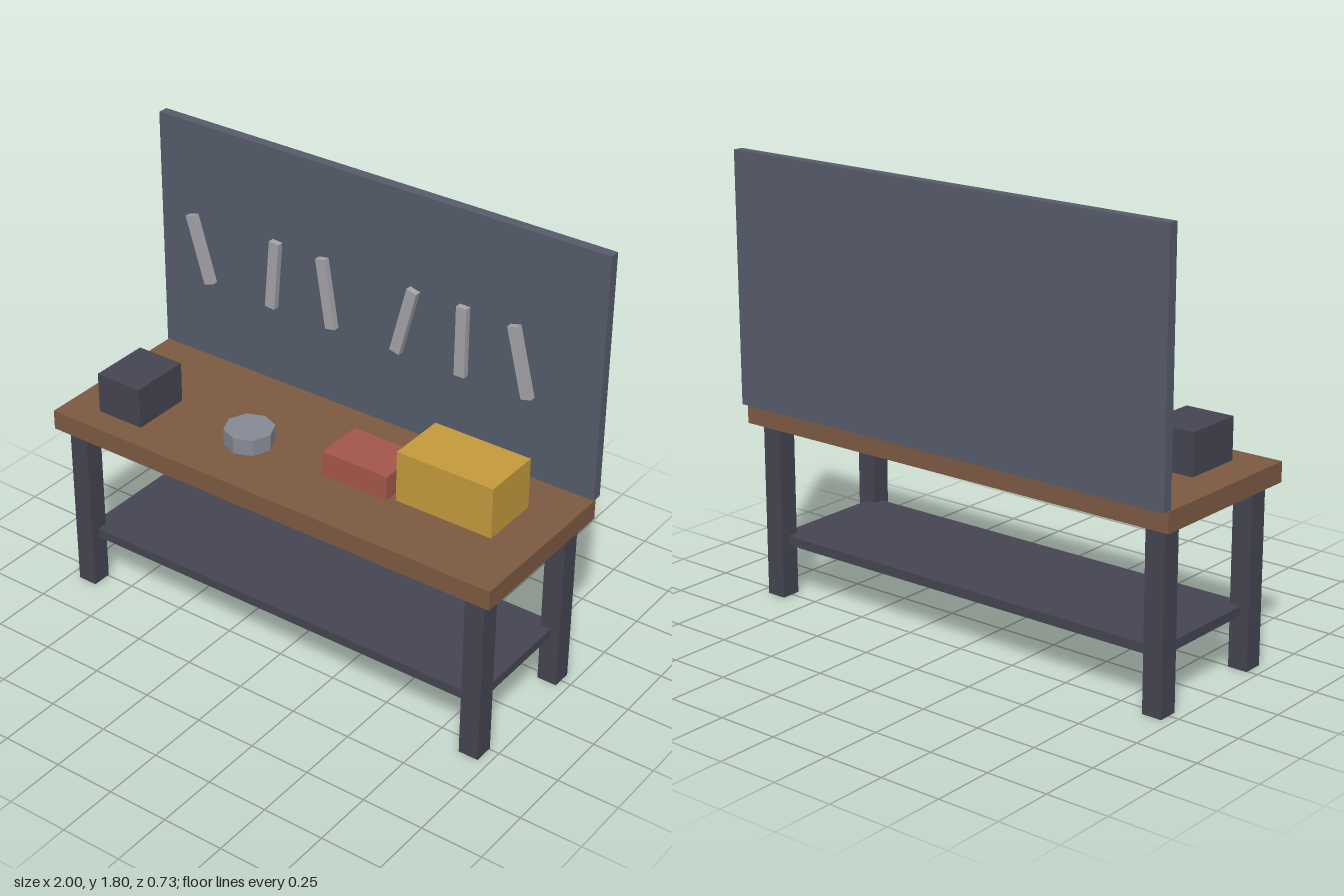
import * as THREE from 'three';

const material = (color) => new THREE.MeshStandardMaterial({ color, flatShading: true });
const WOOD = material(0x7d5a42);
const FRAME = material(0x454552);
const BOARD = material(0x565c6b);
const STEEL = material(0xa3a3a8);
const IRON = material(0x858a95);
const RED = material(0xa4574a);
const YELLOW = material(0xc49a3c);

// Box given by its lower and upper limits on each axis
function box(name, mat, [x0, x1], [y0, y1], [z0, z1]) {
  const mesh = new THREE.Mesh(new THREE.BoxGeometry(x1 - x0, y1 - y0, z1 - z0), mat);
  mesh.position.set((x0 + x1) / 2, (y0 + y1) / 2, (z0 + z1) / 2);
  mesh.name = name;
  return mesh;
}

export function createModel() {
  const model = new THREE.Group();
  model.name = 'workbench';
  const top = 0.793;

  // Worktop, lower shelf and pegboard
  model.add(
    box('worktop', WOOD, [-1, 1], [0.713, top], [-0.338, 0.367]),
    box('lowerShelf', FRAME, [-0.92, 0.92], [0.212, 0.25], [-0.26, 0.291]),
    box('backBoard', BOARD, [-1, 1], [0.796, 1.796], [-0.367, -0.325]),
  );

  // Four square legs
  const half = 0.041;
  for (const x of [-0.916, 0.916]) {
    for (const z of [-0.255, 0.286]) {
      model.add(box(`${z > 0 ? 'front' : 'back'}${x > 0 ? 'Left' : 'Right'}Leg`, FRAME,
        [x - half, x + half], [0, 0.713], [z - half, z + half]));
    }
  }

  // Hanging tools: x position and tilt
  const tools = [[-0.8, 0.3], [-0.446, -0.08], [-0.193, 0.165], [0.163, -0.25], [0.417, 0], [0.671, 0.25]];
  const toolGeometry = new THREE.BoxGeometry(0.045, 0.288, 0.03);
  tools.forEach(([x, tilt], i) => {
    const tool = new THREE.Mesh(toolGeometry, STEEL);
    tool.position.set(x, 1.271, -0.314);
    tool.rotation.z = tilt;
    tool.name = `hangingTool${i + 1}`;
    model.add(tool);
  });

  // Items on the worktop
  model.add(
    box('darkBox', FRAME, [-0.855, -0.65], [top, 0.96], [0.013, 0.263]),
    box('redBox', RED, [0.1, 0.39], [top, 0.893], [-0.09, 0.115]),
    box('yellowCase', YELLOW, [0.417, 0.828], [top, 1.002], [-0.153, 0.094]),
  );
  const tin = new THREE.Mesh(new THREE.CylinderGeometry(0.099, 0.099, 0.067, 8), IRON);
  tin.position.set(-0.253, top + 0.0335, 0.097);
  tin.name = 'roundTin';
  model.add(tin);

  return model;
}
